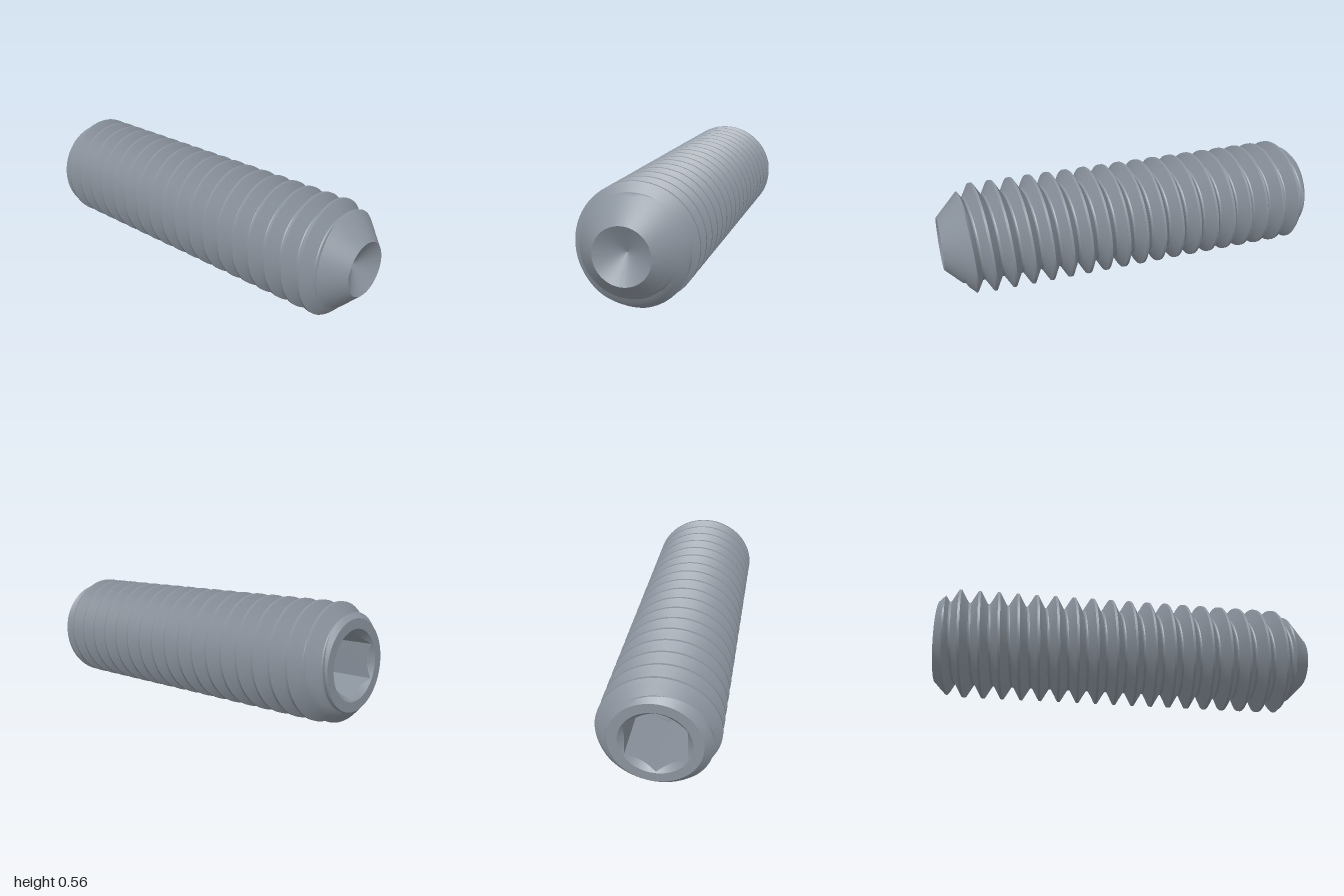
import * as THREE from 'three';
import { toCreasedNormals } from 'three/addons/utils/BufferGeometryUtils.js';

const SEG = 96;               // columns around the axis
const START = -0.973, END = 0.992; // ends along the axis
const PITCH = 0.0985, CREST = 0.281, ROOT = 0.215;
const FACE_R = 0.213, TIP_R = 0.133;
const HEX = 0.14, SINK_R = 0.166;  // socket half width, countersink radius

// Surface from rows of points: each row gives [position along axis, radius] at an angle
function sweep(name, rows, material, crease = 0.5) {
  const point = (row, i) => {
    const a = (i / SEG) * Math.PI * 2;
    const [s, r] = row(a);
    return new THREE.Vector3(s, r * Math.cos(a), r * Math.sin(a));
  };
  const grid = rows.map(row => Array.from({ length: SEG + 1 }, (_, i) => point(row, i)));
  const positions = [];
  const triangle = (a, b, c) => {
    const area = b.clone().sub(a).cross(c.clone().sub(a)).length();
    if (area > 1e-9) for (const p of [a, b, c]) positions.push(p.x, p.y, p.z);
  };
  for (let j = 0; j < rows.length - 1; j++) {
    for (let i = 0; i < SEG; i++) {
      const a = grid[j][i], b = grid[j][i + 1], c = grid[j + 1][i], d = grid[j + 1][i + 1];
      triangle(a, b, c);
      triangle(b, d, c);
    }
  }
  const geometry = new THREE.BufferGeometry();
  geometry.setAttribute('position', new THREE.Float32BufferAttribute(positions, 3));
  const mesh = new THREE.Mesh(toCreasedNormals(geometry, crease), material);
  mesh.name = name;
  return mesh;
}

// Helical thread rows, trimmed by the chamfers at both ends
function threadRows() {
  const profile = [
    [-0.0062, CREST], [0.0062, CREST],
    [0.0156, 0.265], [0.025, 0.248], [0.0344, 0.232],
    [0.043, ROOT + 0.002], [0.04925, ROOT], [0.0555, ROOT + 0.002],
    [0.0641, 0.232], [0.0735, 0.248], [0.0829, 0.265],
  ];
  const rows = [];
  for (let k = -20; k <= 3; k++) {
    for (const [offset, radius] of profile) {
      rows.push(angle => {
        const along = 0.798 + PITCH * (k + angle / (Math.PI * 2)) + offset;
        const s = THREE.MathUtils.clamp(along, START, END);
        return [s, Math.min(radius, FACE_R + s - START, TIP_R + END - s)];
      });
    }
  }
  return rows;
}

export function createModel() {
  const steel = new THREE.MeshStandardMaterial({ color: 0x8a929c });
  steel.name = 'grey steel';

  const screw = new THREE.Group();
  screw.name = 'setScrew';

  // Threaded shank with chamfered ends
  screw.add(sweep('threadedShank', threadRows(), steel));

  // Flat ring around the socket
  screw.add(sweep('endFace', [() => [START, SINK_R], () => [START, FACE_R]], steel));

  // Hexagonal socket with a drilled bottom and countersunk mouth
  const sixth = Math.PI / 3;
  const hexRadius = a => HEX / Math.cos((a % sixth) - sixth / 2);
  const floor = START + 0.35;
  screw.add(sweep('hexSocket', [
    () => [floor + 0.07, 0],
    () => [floor, HEX * 0.98],
    a => [floor, hexRadius(a)],
    a => [START + SINK_R - hexRadius(a), hexRadius(a)],
    () => [START, SINK_R],
  ], steel));

  // Conical hollow in the tip
  screw.add(sweep('cupPoint', [() => [END, TIP_R], () => [END - 0.075, 0]], steel));

  screw.rotation.y = THREE.MathUtils.degToRad(-12.3);
  screw.position.y = CREST;

  const model = new THREE.Group();
  model.name = 'model';
  model.add(screw);
  return model;
}
